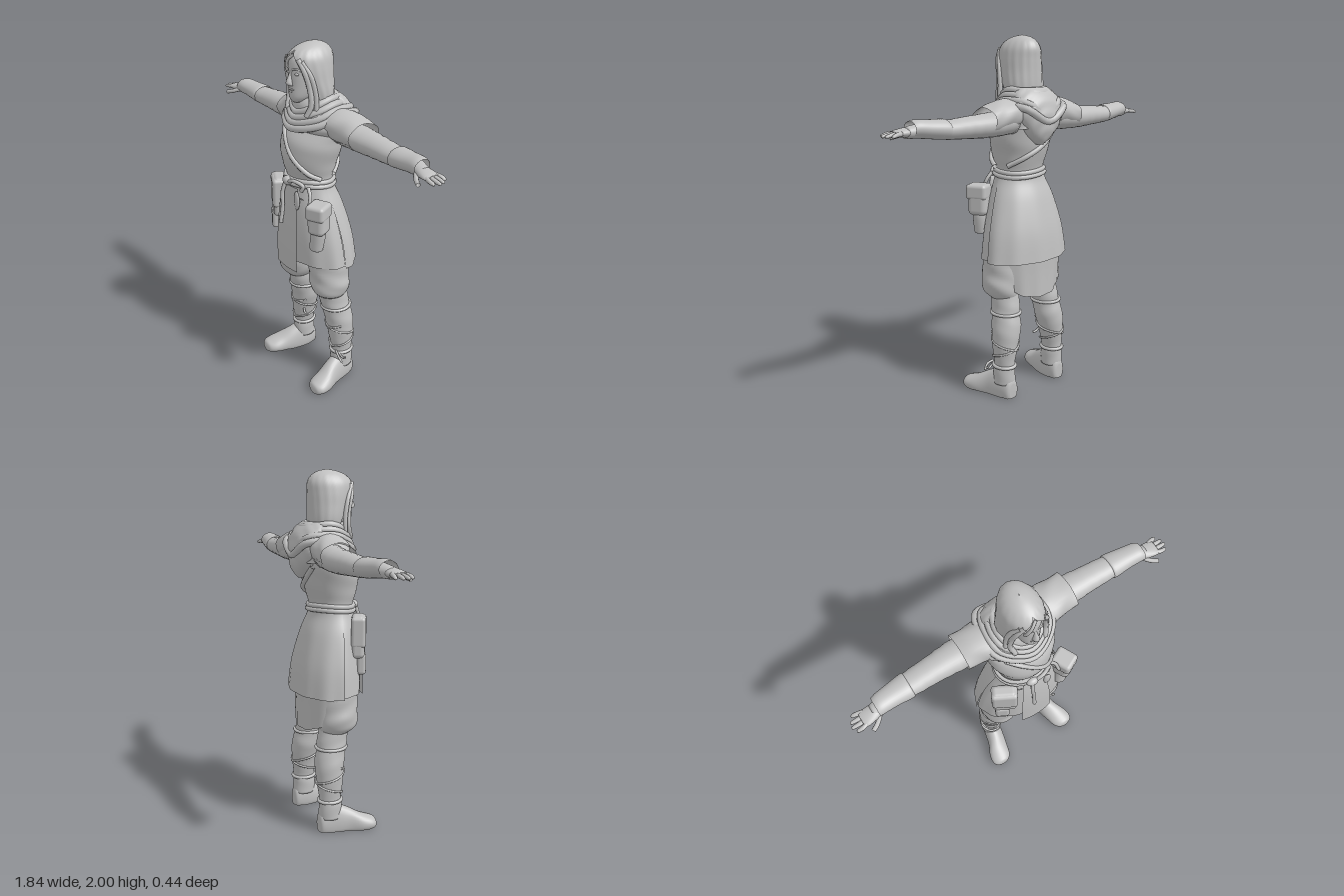
import * as THREE from 'three';
import { RoundedBoxGeometry } from 'three/addons/geometries/RoundedBoxGeometry.js';

const grey = new THREE.MeshStandardMaterial({ color: 0xc0c0c0, side: THREE.DoubleSide });
grey.name = 'clay grey';
const V = (x, y, z) => new THREE.Vector3(x, y, z);

// Smooth skin over elliptical sections [t, c1, c2, r1, r2, opening half-angle].
// axis y: c/r are x,z; axis x: y,z; axis z: x,y. shift turns the opening.
function loft(rows, { axis = 'y', n = 32, sub = 5, shift = 0, cap = true, bump, warp } = {}) {
  const pos = [], idx = [];
  const open = rows.some(r => r[5]);
  const w = open ? n + 1 : n;
  const m = (rows.length - 1) * sub;
  const cr = (a, b, c, d, f) => 0.5 * (2 * b + (c - a) * f + (2 * a - 5 * b + 4 * c - d) * f * f + (3 * b - a - 3 * c + d) * f ** 3);
  const at = i => rows[Math.max(0, Math.min(rows.length - 1, i))];
  for (let i = 0; i <= m; i++) {
    const k = Math.min(Math.floor(i / sub), rows.length - 2), f = i / sub - k;
    const [t, c1, c2, r1, r2, o] = [0, 1, 2, 3, 4, 5].map(j =>
      cr(at(k - 1)[j] || 0, at(k)[j] || 0, at(k + 1)[j] || 0, at(k + 2)[j] || 0, f));
    const gap = Math.max(0, o);
    for (let j = 0; j < w; j++) {
      const a = shift + gap + (2 * Math.PI - 2 * gap) * j / n;
      const s = bump ? bump(t, a) : 1, C = Math.cos(a) * s, S = Math.sin(a) * s;
      const p = axis === 'y' ? V(c1 + r1 * S, t, c2 + r2 * C)
        : axis === 'x' ? V(t, c1 + r1 * C, c2 + r2 * S) : V(c1 + r1 * C, c2 + r2 * S, t);
      if (warp) warp(p, a);
      pos.push(p.x, p.y, p.z);
    }
  }
  for (let i = 0; i < m; i++) for (let j = 0; j < n; j++) {
    const a = i * w + j, b = i * w + (j + 1) % w;
    idx.push(a, b, b + w, a, b + w, a + w);
  }
  if (cap && !open) for (const [row, flip] of [[0, true], [m, false]]) {
    const c = pos.length / 3, mid = [0, 0, 0];
    for (let j = 0; j < w; j++) for (let q = 0; q < 3; q++) mid[q] += pos[(row * w + j) * 3 + q] / w;
    pos.push(...mid);
    for (let j = 0; j < w; j++) {
      const a = row * w + j, b = row * w + (j + 1) % w;
      flip ? idx.push(c, b, a) : idx.push(c, a, b);
    }
  }
  const g = new THREE.BufferGeometry();
  g.setAttribute('position', new THREE.Float32BufferAttribute(pos, 3));
  g.setIndex(idx);
  g.computeVertexNormals();
  return g;
}

const tube = (pts, r, closed = false) =>
  new THREE.TubeGeometry(new THREE.CatmullRomCurve3(pts.map(p => V(...p)), closed), 40, r, 8, closed);
const blob = (x, y, z, sx, sy, sz) => new THREE.SphereGeometry(1, 20, 14).scale(sx, sy, sz).translate(x, y, z);
const box = (w, h, d, r, x, y, z, ry = 0) => new RoundedBoxGeometry(w, h, d, 3, r).rotateY(ry).translate(x, y, z);

// Mirror a geometry to the other side and keep its faces outward
function mirrored(g, offset) {
  const c = (g.index ? g.toNonIndexed() : g.clone()).scale(-1, 1, 1).translate(offset, 0, 0);
  for (const key of ['position', 'normal']) {
    const a = c.attributes[key].array;
    for (let i = 0; i < a.length; i += 9) for (let q = 0; q < 3; q++) [a[i + 3 + q], a[i + 6 + q]] = [a[i + 6 + q], a[i + 3 + q]];
  }
  return c;
}

export function createModel() {
  const root = new THREE.Group();
  root.name = 'adventurer';
  const add = (name, g) => {
    const mesh = new THREE.Mesh(g, grey);
    mesh.name = name;
    root.add(mesh);
  };
  const pair = (name, g, offset = 0) => { add(name + 'Left', g); add(name + 'Right', mirrored(g, offset)); };

  // Head and face
  add('head', loft([[1.7, 0, .095, .022, .03], [1.73, 0, .075, .05, .068], [1.79, 0, .045, .07, .098],
    [1.86, 0, .03, .078, .113], [1.93, 0, .02, .078, .11], [1.975, 0, .01, .04, .06]]));
  add('neck', loft([[1.58, 0, -.01, .065, .06], [1.66, 0, .01, .05, .052], [1.76, 0, .03, .05, .055]]));
  add('nose', loft([[1.793, 0, .143, .018, .014], [1.808, 0, .148, .017, .02], [1.84, 0, .14, .01, .015], [1.87, 0, .132, .007, .01]], { n: 14 }));
  add('upperLip', blob(0, 1.772, .138, .024, .006, .01));
  add('lowerLip', blob(0, 1.761, .136, .02, .007, .01));
  pair('eye', blob(.033, 1.853, .127, .016, .008, .009));
  pair('brow', tube([[.013, 1.873, .139], [.035, 1.88, .132], [.056, 1.871, .115]], .005));

  // Hair shell with a parting, side locks and fringe
  add('hair', loft([[1.66, 0, -.015, .105, .085, 1.25], [1.74, 0, -.003, .116, .103, 1.1], [1.82, 0, .012, .111, .119, .82],
    [1.88, 0, .018, .105, .126, .66], [1.93, 0, .018, .094, .126, .35], [1.967, 0, .012, .07, .1], [1.99, 0, .005, .038, .055], [2, 0, .003, .002, .003]],
  { n: 56, bump: (t, a) => 1 + .012 * Math.sin(a * 17 + t * 9) * (t < 1.97 ? 1 : 0) }));
  pair('sideLock', tube([[.045, 1.93, .125], [.078, 1.87, .11], [.092, 1.78, .088], [.1, 1.7, .085], [.085, 1.64, .105]], .014));
  pair('thinLock', tube([[.06, 1.92, .115], [.095, 1.84, .08], [.108, 1.74, .06], [.112, 1.66, .06]], .013));
  add('fringe', tube([[.01, 1.95, .125], [-.02, 1.92, .142], [-.04, 1.88, .137], [-.047, 1.85, .126]], .008));

  // Torso
  add('torso', loft([[1.18, 0, .03, .17, .125], [1.27, 0, .024, .143, .115], [1.35, 0, .025, .155, .14], [1.43, 0, .018, .178, .153],
    [1.5, 0, .003, .19, .148], [1.58, 0, -.025, .19, .115], [1.66, 0, -.02, .1, .08]],
  { n: 48, bump: (t, a) => 1 + .008 * Math.sin(t * 55 + a * 2) }));
  add('chestSash', tube([[-.13, 1.56, .09], [-.05, 1.5, .145], [.04, 1.42, .168], [.12, 1.34, .125], [.15, 1.3, .06]], .013));
  add('backStrap', tube([[-.11, 1.5, -.13], [-.02, 1.42, -.137], [.08, 1.36, -.105], [.14, 1.31, -.03]], .014));

  // Cowl, hood and neck folds
  add('mantle', loft([[1.52, 0, -.045, .2, .14], [1.58, 0, -.03, .225, .145], [1.65, 0, -.02, .17, .135], [1.7, 0, -.005, .115, .105], [1.725, 0, 0, .095, .085]],
    { n: 64, cap: false, bump: (t, a) => 1 + .018 * Math.sin(t * 95 + Math.cos(a) * 4) }));
  add('hood', loft([[1.43, .01, -.14, .02, .025], [1.47, .01, -.145, .07, .05], [1.54, 0, -.14, .13, .07], [1.62, 0, -.12, .165, .085], [1.69, 0, -.095, .14, .075], [1.73, 0, -.08, .09, .045]],
    { n: 48, bump: (t, a) => 1 + .03 * Math.sin(t * 80 + Math.sin(a) ** 2 * 9) }));
  for (let i = 0; i < 4; i++) {
    const s = i * .022, y = 1.7 - i * .026;
    add('scarfFold', tube([[0, y - .055, .105 + s * .6], [.085 + s, y - .02, .065], [.11 + s, y + .015, -.02], [.07 + s, y + .005, -.11 - s],
      [0, y - s, -.135 - s], [-.07 - s, y + .005, -.11 - s], [-.11 - s, y + .015, -.02], [-.085 - s, y - .02, .065]], .021, true));
  }
  const sleeve = [[.12, 1.6, -.05, .075, .11], [.2, 1.592, -.055, .082, .108], [.27, 1.582, -.065, .079, .1], [.335, 1.57, -.07, .068, .1]];
  pair('shoulderFlap', loft(sleeve, { axis: 'x', cap: false, bump: (t, a) => 1 + .025 * Math.sin(a * 5 + t * 40) }), .035);

  // Arms, bracers and hands
  pair('arm', loft([[.15, 1.56, -.06, .07, .085], [.3, 1.55, -.074, .064, .083], [.45, 1.548, -.073, .056, .071], [.6, 1.547, -.068, .046, .063], [.72, 1.553, -.055, .037, .048], [.8, 1.548, -.042, .027, .036]],
    { axis: 'x', bump: (t, a) => 1 + .02 * Math.sin(t * 90 + a * 2) }));
  pair('bracer', loft([[.585, 1.55, -.068, .047, .065], [.6, 1.552, -.067, .051, .069], [.68, 1.559, -.061, .046, .06], [.745, 1.566, -.053, .043, .055], [.775, 1.564, -.048, .039, .05]], { axis: 'x', cap: false }));
  pair('palm', loft([[.76, 1.55, -.043, .026, .035], [.8, 1.55, -.038, .024, .042], [.84, 1.549, -.034, .017, .045], [.862, 1.547, -.034, .012, .042]], { axis: 'x', n: 20 }));
  [[.89, -.078], [.908, -.05], [.913, -.025], [.9, .002]].forEach(([tip, z]) => {
    pair('finger', loft([[.835, 1.549, z * .7 - .012, .012, .012], [.87, 1.546, z * .95, .011, .012], [tip, 1.54, z, .008, .009], [tip + .007, 1.539, z, .002, .002]], { axis: 'x', n: 10 }));
  });
  pair('thumb', tube([[.77, 1.545, -.015], [.795, 1.535, .008], [.815, 1.528, .022], [.838, 1.522, .033]], .012));

  // Tunic skirt with side slits, front flap and sloping underskirt
  const pleat = (t, a) => 1 + .014 * Math.sin(a * 11) * (1.27 - t) / .47;
  add('tunicBack', loft([[.79, .005, -.008, .28, .197, 1.62], [.95, .003, 0, .255, .185, 1.62], [1.12, 0, .015, .205, .155, 1.6], [1.22, 0, .025, .162, .125, 1.58], [1.27, 0, .024, .147, .118, 1.56]], { n: 44, bump: pleat }));
  add('tunicFront', loft([[.8, .005, -.008, .272, .178, 1.5], [.95, .003, 0, .245, .172, 1.5], [1.12, 0, .015, .197, .148, 1.5], [1.22, 0, .025, .158, .123, 1.5], [1.27, 0, .024, .145, .117, 1.5]], { n: 44, shift: Math.PI, bump: pleat }));
  const cut = Math.PI - .34;
  add('frontFlap', loft([[.75, .005, 0, .285, .198, cut], [.95, .003, .005, .275, .188, cut], [1.12, 0, .02, .24, .158, cut], [1.24, 0, .025, .2, .132, cut]], { n: 16, shift: Math.PI }));
  add('underskirt', loft([[.57, 0, 0, .225, .168, .72], [.7, 0, 0, .238, .168, .72], [.82, 0, 0, .245, .17, .72], [.95, 0, 0, .235, .165, .72]], {
    n: 56, bump: (t, a) => 1 + .018 * Math.sin(a * 13) * (.95 - t) / .38,
    warp: p => { p.y = THREE.MathUtils.lerp(.575 + Math.max(0, p.z + .165) * .8, .95, (p.y - .57) / .38); },
  }));

  // Belt, knot and hanging ties
  const ring = (y, r, x, z, cz) => tube(Array.from({ length: 12 }, (_, i) => {
    const a = i * Math.PI / 6;
    return [x * Math.sin(a), y + .006 * Math.sin(a * 2), cz + z * Math.cos(a)];
  }), r, true);
  add('beltUpper', ring(1.275, .013, .145, .122, .024));
  add('beltLower', ring(1.252, .013, .15, .125, .024));
  add('beltKnot', blob(-.015, 1.265, .16, .035, .024, .024));
  add('beltTie', tube([[-.02, 1.26, .17], [-.028, 1.2, .185], [-.022, 1.12, .19], [-.025, 1.02, .203]], .011));
  add('beltLoop', tube([[0, 1.265, .165], [.05, 1.285, .165], [.1, 1.265, .14], [.09, 1.235, .145]], .011));
  add('beltTag', blob(.077, 1.18, .165, .022, .055, .012));
  add('beltTieShort', tube([[.12, 1.26, .12], [.15, 1.22, .13], [.165, 1.16, .15]], .01));

  // Pouches
  add('leftPouch', box(.1, .16, .11, .03, .215, 1.11, .12, .45));
  add('leftPouchFlap', box(.108, .085, .12, .02, .216, 1.162, .124, .45));
  add('leftVial', loft([[.925, .2, .125, .036, .032], [.94, .2, .125, .04, .037], [1.02, .21, .12, .043, .04], [1.05, .21, .12, .04, .036]], { n: 20 }));
  add('rightPouch', box(.135, .235, .075, .025, -.165, 1.115, .115, -.5));
  add('rightPouchFlap', box(.142, .17, .082, .02, -.165, 1.142, .118, -.5));
  add('rightLowerPouch', box(.08, .12, .05, .018, -.188, .965, .125, -.5));

  // Baggy trousers, legs and boots
  const off = .018;
  pair('trouser', loft([[.575, .16, -.015, .07, .085], [.61, .165, -.002, .095, .106], [.66, .16, .002, .11, .115], [.72, .153, .003, .108, .114], [.82, .14, .005, .115, .12], [.96, .115, .01, .115, .13]],
    { n: 40, bump: (t, a) => 1 + .022 * Math.sin(t * 60 + a * 3) }), off);
  pair('leg', loft([[.08, .2, -.062, .06, .066], [.15, .2, -.06, .058, .067], [.2, .199, -.062, .055, .063], [.3, .193, -.06, .069, .076], [.4, .178, -.056, .082, .084], [.48, .168, -.04, .076, .084], [.54, .16, -.03, .075, .087], [.62, .16, -.015, .07, .085]],
    { n: 36, bump: (t, a) => 1 + .012 * Math.sin(t * 75 + a * 2) }), off);
  pair('foot', loft([[-.132, .198, .04, .025, .045], [-.115, .198, .04, .045, .08], [-.04, .204, .04, .057, .115], [.03, .218, .035, .06, .095], [.1, .243, .03, .068, .062], [.155, .255, .028, .065, .042], [.185, .258, .025, .045, .032], [.195, .258, .02, .018, .018]],
    { axis: 'z', warp: p => { p.y = Math.max(0, p.y); } }), off);
  pair('bootCuff', new THREE.TorusGeometry(.058, .01, 8, 28).rotateX(Math.PI / 2).scale(1, 1, 1.12).translate(.2, .185, -.062), off);
  pair('kneeBand', new THREE.TorusGeometry(.079, .009, 8, 28).rotateX(Math.PI / 2).scale(1, 1, 1.08).translate(.167, .49, -.04), off);

  // Crossed calf laces and their loose ends
  for (const dir of [1, -1]) pair('calfLace', tube(Array.from({ length: 15 }, (_, i) => {
    const a = dir * i * Math.PI / 6, y = .22 + i * .0115, r = .061 + (y - .2) * .115;
    return [.2 - (y - .2) * .1 + r * Math.sin(a), y, -.061 + r * 1.08 * Math.cos(a)];
  }), .006), off);
  add('leftLaceEnd', tube([[.23, .2, 0], [.265, .185, .01], [.29, .155, .005]], .007));
  add('leftLaceBow', tube([[.24, .19, -.01], [.275, .17, -.015], [.295, .18, -.02]], .006));
  add('rightLaceEnd', tube([[-.125, .31, -.02], [-.1, .285, -.01], [-.075, .285, -.01]], .007));
  return root;
}
